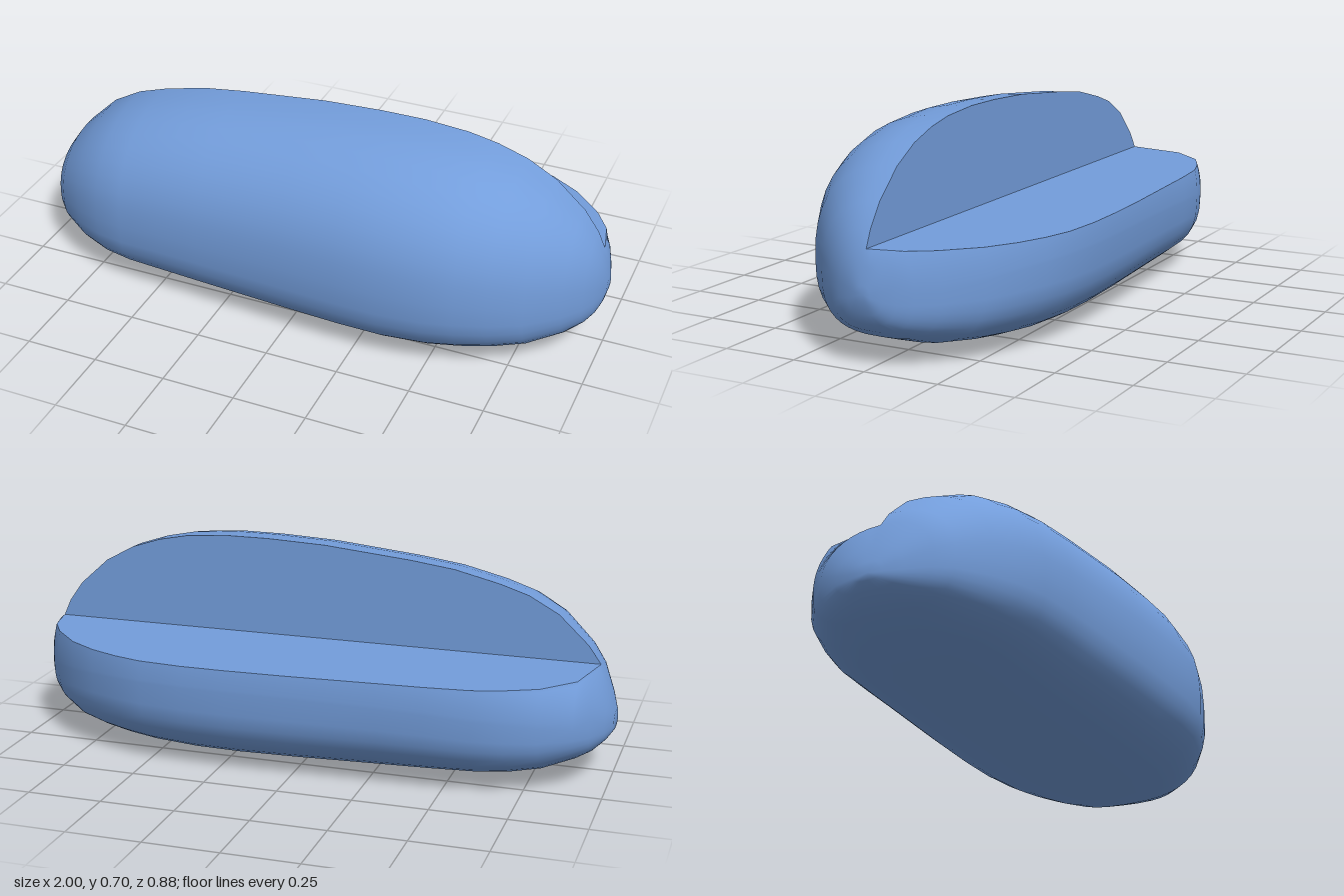
import * as THREE from 'three';
import { mergeVertices } from 'three/addons/utils/BufferGeometryUtils.js';

const CUT = 0.365; // height of the cut shelf; the wall of the cut lies on z = 0
const Q = 10; // steps per quarter of a cross-section

// Cross-sections along x: [x, top, bottom, front depth, back depth]
const ROWS = [
  [-1, 0.18, 0.18, 0, 0], [-1, 0.215, 0.155, 0.05, 0.05],
  [-0.98, 0.275, 0.13, 0.11, 0.125], [-0.943, CUT, 0.1, 0.185, 0.205],
  [-0.9, 0.425, 0.08, 0.235, 0.26], [-0.8, 0.52, 0.045, 0.305, 0.335],
  [-0.7, 0.575, 0.027, 0.35, 0.373], [-0.6, 0.607, 0.02, 0.373, 0.4],
  [-0.45, 0.643, 0.014, 0.386, 0.411], [-0.3, 0.663, 0.01, 0.398, 0.418],
  [0, 0.692, 0.003, 0.42, 0.434], [0.2, 0.7, 0, 0.432, 0.44],
  [0.35, 0.7, 0.002, 0.437, 0.44], [0.5, 0.688, 0.01, 0.425, 0.427],
  [0.6, 0.668, 0.018, 0.398, 0.4], [0.7, 0.635, 0.029, 0.36, 0.36],
  [0.8, 0.58, 0.045, 0.302, 0.302], [0.9, 0.49, 0.08, 0.21, 0.21],
  [0.95, 0.42, 0.11, 0.145, 0.145], [0.975, CUT, 0.138, 0.1, 0.1],
  [0.99, 0.315, 0.17, 0.06, 0.06], [1, 0.26, 0.21, 0.025, 0.025],
  [1, 0.235, 0.235, 0, 0],
];

// One ring: top, front, bottom, then up the back to the cut (or the top)
function section([x, top, bottom, front, back]) {
  const mid = bottom + (top - bottom) * 0.415;
  const up = top - mid, down = mid - bottom;
  const end = top > CUT ? Math.asin(((CUT - mid) / up) ** 1.15) : Math.PI / 2;
  const ring = [];
  const add = (a, h, w, n) => ring.push([
    x, mid + h * Math.sin(a) ** (2 / n), w * Math.max(0, Math.cos(a)) ** (2 / n)]);
  const quarter = Math.PI / 2;
  for (let i = 0; i < Q; i++) add(quarter * (1 - i / Q), up, front, 2.3);
  for (let i = 0; i < Q; i++) add(quarter * i / Q, -down, front, 2.8);
  for (let i = 0; i < Q; i++) add(quarter * (1 - i / Q), -down, -back, 2.8);
  for (let i = 0; i <= Q; i++) add(end * i / Q, up, -back, 2.3);
  return ring;
}

// Rounded skin lofted through the rings
function loft(rings) {
  const n = rings[0].length, index = [];
  for (let i = 0; i < rings.length - 1; i++) {
    for (let j = 0; j < n - 1; j++) {
      const a = i * n + j, c = a + n;
      index.push(a, a + 1, c, a + 1, c + 1, c);
    }
  }
  const geo = new THREE.BufferGeometry();
  geo.setAttribute('position', new THREE.Float32BufferAttribute(rings.flat(2), 3));
  geo.setIndex(index);
  const merged = mergeVertices(geo, 1e-4);
  merged.computeVertexNormals();
  return merged;
}

export function createModel() {
  const group = new THREE.Group();
  const blue = new THREE.MeshStandardMaterial({ color: 0x739ddb });
  blue.name = 'soft blue';
  const add = (name, geo) => {
    const mesh = new THREE.Mesh(geo, blue);
    mesh.name = name;
    group.add(mesh);
    return mesh;
  };

  const rings = ROWS.map(section);
  add('skin', loft(rings));

  // Each cut face is a flat core with a narrow skin rim around it
  const cutRows = ROWS.map((r, i) => [r, rings[i]]).filter(([r]) => r[1] >= CUT);
  const face = (name, outer, place) => {
    const inner = outer.map((p) => new THREE.Vector2(p.x * 0.98, p.y * 0.975));
    const rim = [...outer, ...inner.slice().reverse()];
    for (const [part, points] of [['Core', inner], ['Rim', rim]]) {
      add(name + part, place(new THREE.ShapeGeometry(new THREE.Shape(points))));
    }
  };
  face('shelf',
    cutRows.map(([r, ring]) => new THREE.Vector2(r[0], Math.abs(ring[ring.length - 1][2]))),
    (g) => g.rotateX(-Math.PI / 2).translate(0, CUT, 0));
  face('wall',
    cutRows.map(([r]) => new THREE.Vector2(-r[0], r[1] - CUT)),
    (g) => g.rotateY(Math.PI).translate(0, CUT, 0));

  return group;
}
